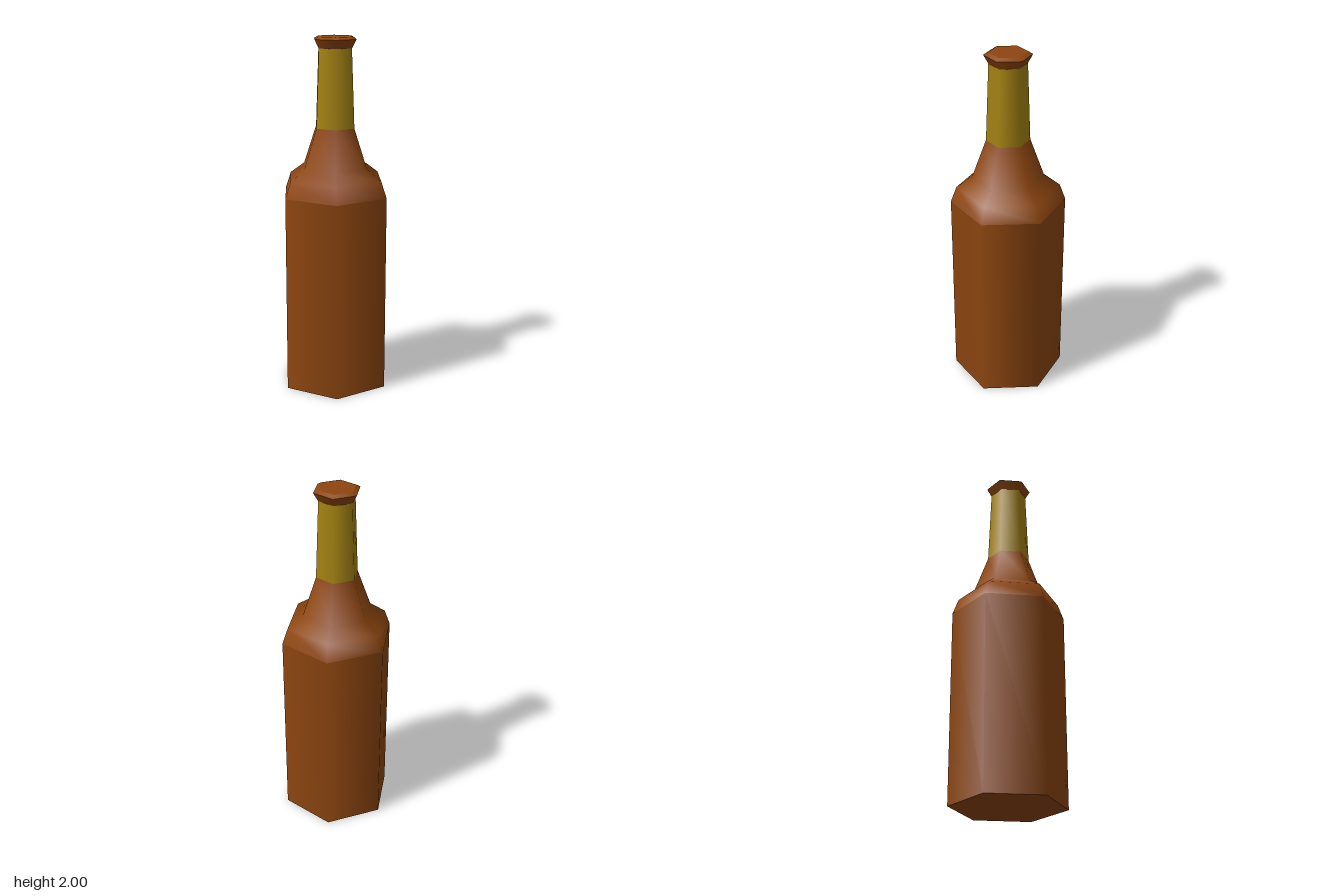
import * as THREE from 'three';

const brown = new THREE.MeshStandardMaterial({ name: 'brown glass', color: 0x8e4610 });
const gold = new THREE.MeshStandardMaterial({ name: 'gold foil', color: 0xa68412 });

const SIDES = 6;

// Six-sided ring section turned from [radius, height] points, corners on the x axis
function section(name, material, profile) {
  const points = profile.map(([r, y]) => new THREE.Vector2(r, y));
  const geometry = new THREE.LatheGeometry(points, SIDES, Math.PI / 2);
  const mesh = new THREE.Mesh(geometry, material);
  mesh.name = name;
  return mesh;
}

export function createModel() {
  const bottle = new THREE.Group();
  bottle.name = 'bottle';
  bottle.add(
    // Flat underside and straight body
    section('base', brown, [[0, 0], [0.323, 0]]),
    section('body', brown, [[0.323, 0], [0.323, 1.125]]),
    // Rounded shoulder sweeping up into the neck
    section('shoulder', brown, [[0.323, 1.125], [0.29, 1.215], [0.2, 1.28], [0.121, 1.5]]),
    // Foil-wrapped neck
    section('neckFoil', gold, [[0.121, 1.5], [0.104, 1.938]]),
    // Flared lip with a bevelled, closed top
    section('lip', brown, [[0.104, 1.938], [0.131, 1.986]]),
    section('lipBevel', brown, [[0.131, 1.986], [0.106, 2]]),
    section('capTop', brown, [[0.106, 2], [0, 2]])
  );
  return bottle;
}
